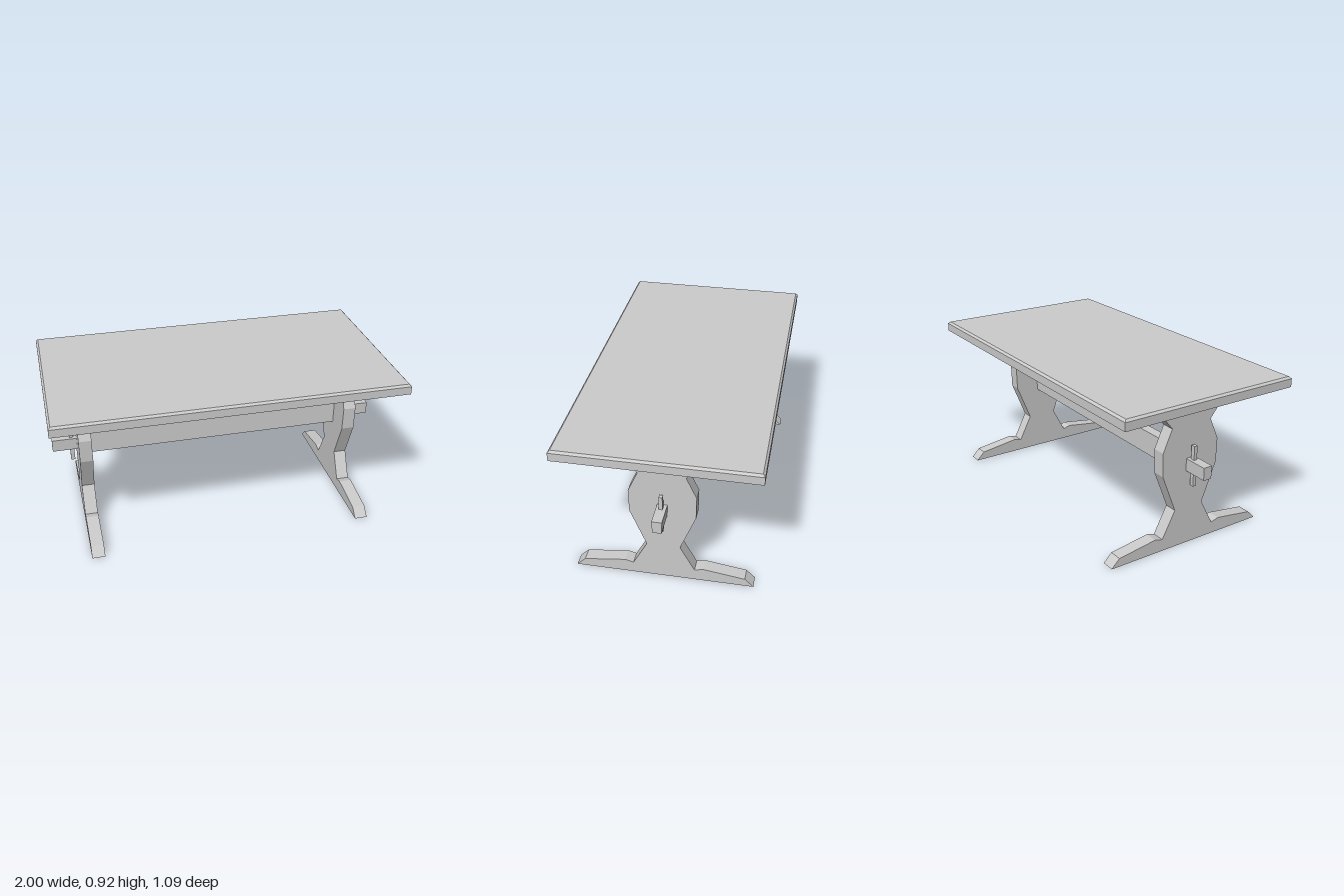
import * as THREE from 'three';

const material = new THREE.MeshStandardMaterial({ color: 0xcccccc, flatShading: true });

function addMesh(parent, name, geometry, x = 0, y = 0, z = 0) {
  const mesh = new THREE.Mesh(geometry, material);
  mesh.name = name;
  mesh.position.set(x, y, z);
  parent.add(mesh);
  return mesh;
}

// Extrude a half outline [z, y], mirrored about z = 0, along x and centre it on x = 0
function mirroredProfile(half, thickness) {
  const points = [
    ...half.map(([z, y]) => new THREE.Vector2(z, y)),
    ...half.slice().reverse().map(([z, y]) => new THREE.Vector2(-z, y)),
  ];
  return new THREE.ExtrudeGeometry(new THREE.Shape(points), { depth: thickness, bevelEnabled: false })
    .translate(0, 0, -thickness / 2)
    .rotateY(Math.PI / 2);
}

export function createModel() {
  const table = new THREE.Group();
  table.name = 'trestleTable';

  // Table top: a slab whose upper rim is chamfered by pulling in the top ring
  const top = new THREE.BoxGeometry(2, 0.06, 1.09, 1, 2, 1);
  const pos = top.attributes.position;
  for (let i = 0; i < pos.count; i++) {
    const y = pos.getY(i);
    if (y > 0.02) {
      pos.setX(i, pos.getX(i) - Math.sign(pos.getX(i)) * 0.012);
      pos.setZ(i, pos.getZ(i) - Math.sign(pos.getZ(i)) * 0.012);
    } else if (y > -0.02) {
      pos.setY(i, 0.018);
    }
  }
  addMesh(table, 'tableTop', top, 0, 0.887, 0);

  // Trestle outline, from the foot up to the underside of the top
  const legGeometry = mirroredProfile([
    [0.506, 0], [0.457, 0.049], [0.222, 0.083], [0.174, 0.07], [0.093, 0.225],
    [0.182, 0.45], [0.185, 0.588], [0.129, 0.715], [0.247, 0.858],
  ], 0.075);

  // Stretcher between the trestles
  addMesh(table, 'stretcher', new THREE.BoxGeometry(1.53, 0.136, 0.06), 0, 0.482, 0);

  // Each end: trestle, through tenon and locking peg
  const tenonGeometry = mirroredProfile([[0.025, 0.446], [0.028, 0.52]], 0.22);
  const pegGeometry = new THREE.BoxGeometry(0.024, 0.236, 0.02);
  for (const [side, name] of [[1, 'left'], [-1, 'right']]) {
    const end = new THREE.Group();
    end.name = name + 'Trestle';
    addMesh(end, name + 'Leg', legGeometry, side * 0.8, 0, 0);
    addMesh(end, name + 'Tenon', tenonGeometry, side * 0.872, 0, 0);
    addMesh(end, name + 'Peg', pegGeometry, side * 0.868, 0.483, 0);
    table.add(end);
  }

  return table;
}
